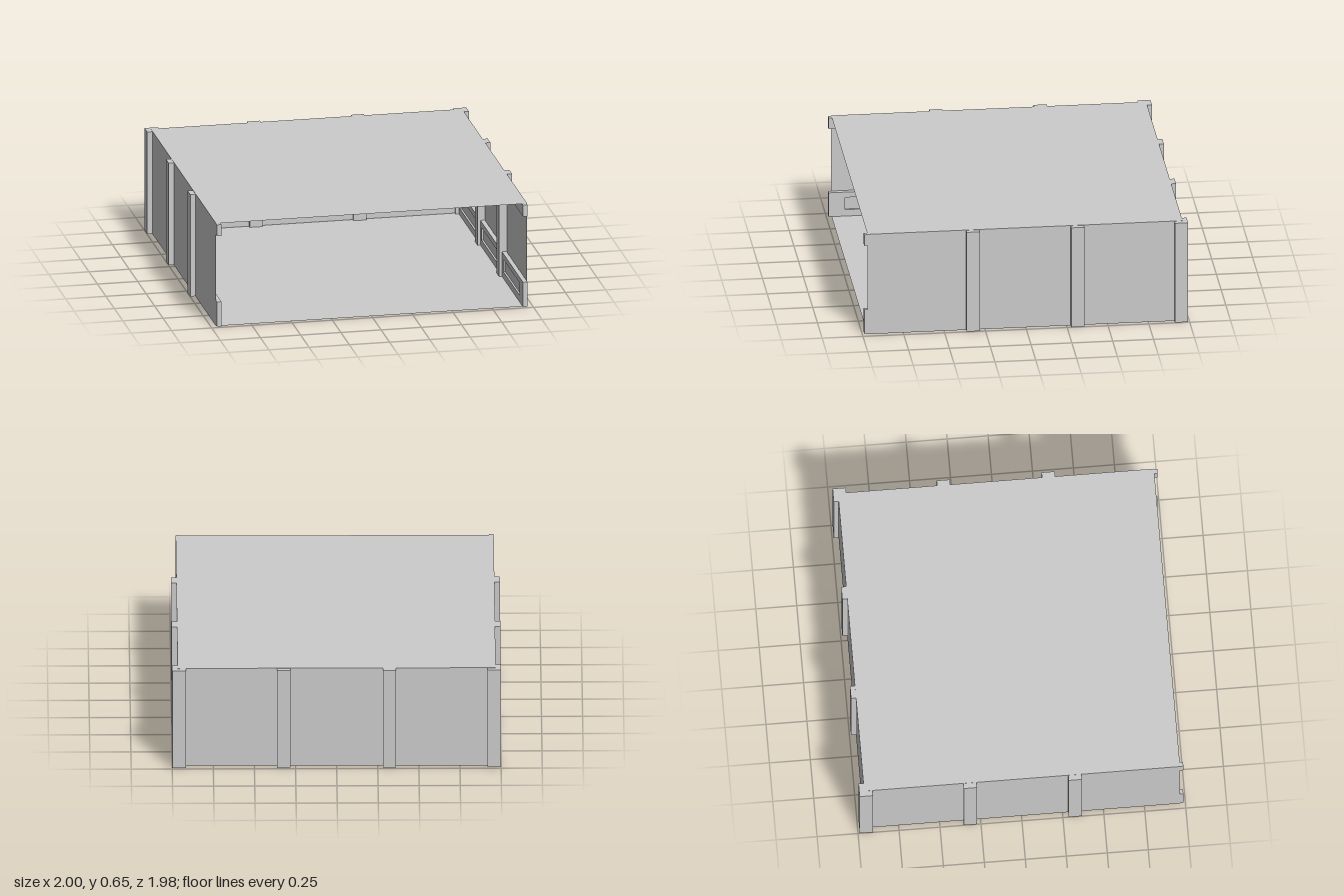
import * as THREE from 'three';

const HEIGHT = 0.655;
const WALL_X = 0.967;   // side wall planes
const BACK_Z = -0.96;   // back wall plane
const FRONT_Z = 0.968;  // open front edge of walls, floor and ceiling
const TRIM = 0.03;      // trim thickness
const POST = 0.08;

export function createModel() {
  const room = new THREE.Group();
  room.name = 'room';
  const solid = new THREE.MeshStandardMaterial({ color: 0xcccccc });
  const thin = new THREE.MeshStandardMaterial({ color: 0xcccccc, side: THREE.DoubleSide });

  const add = (parent, name, geometry, material, x = 0, y = 0, z = 0) => {
    const mesh = new THREE.Mesh(geometry, material);
    mesh.name = name;
    mesh.position.set(x, y, z);
    parent.add(mesh);
    return mesh;
  };
  const rect = (path, x0, y0, x1, y1) =>
    path.moveTo(x0, y0).lineTo(x1, y0).lineTo(x1, y1).lineTo(x0, y1).closePath();

  // Wall sheet with top trim and a panelled baseboard; local +z points into the room
  function makeWall(name, [w0, w1], [t0, t1], panelCentres) {
    const wall = new THREE.Group();
    wall.name = name;
    add(wall, 'wallSheet', new THREE.PlaneGeometry(w1 - w0, HEIGHT), thin, (w0 + w1) / 2, HEIGHT / 2);

    const mid = (t0 + t1) / 2;
    add(wall, 'topTrim', new THREE.BoxGeometry(t1 - t0, 0.072, TRIM - 0.002), solid,
      mid, 0.616, TRIM / 2 + 0.001);

    const board = new THREE.Shape();
    rect(board, t0, 0.003, t1, 0.16);
    for (const c of panelCentres) {
      const hole = new THREE.Path();
      rect(hole, c - 0.242, 0.045, c + 0.242, 0.125);
      board.holes.push(hole);
      add(wall, 'recessedPanel', new THREE.PlaneGeometry(0.484, 0.08), solid, c, 0.085, 0.018);
    }
    add(wall, 'baseboard', new THREE.ExtrudeGeometry(board, { depth: TRIM - 0.002, bevelEnabled: false }),
      solid, 0, 0, 0.002);
    room.add(wall);
    return wall;
  }

  const back = makeWall('backWall', [-WALL_X, WALL_X], [-WALL_X, WALL_X], [-0.64, 0, 0.64]);
  back.position.z = BACK_Z;

  const bays = [-0.635, 0.005, 0.645];
  const left = makeWall('leftWall', [BACK_Z, FRONT_Z], [BACK_Z, 0.988], bays);
  left.rotation.y = -Math.PI / 2;
  left.position.x = WALL_X;
  const right = makeWall('rightWall', [-FRONT_Z, -BACK_Z], [-0.988, -BACK_Z], bays.map((b) => -b));
  right.rotation.y = Math.PI / 2;
  right.position.x = -WALL_X;

  // Floor and ceiling sheets
  for (const [name, y] of [['floor', 0], ['ceiling', HEIGHT]]) {
    const sheet = add(room, name, new THREE.PlaneGeometry(2 * WALL_X, FRONT_Z - BACK_Z), thin,
      0, y, (FRONT_Z + BACK_Z) / 2);
    sheet.rotation.x = -Math.PI / 2;
  }

  // Square posts straddling the walls
  const addPost = (name, x, z, size = POST) =>
    add(room, name, new THREE.BoxGeometry(size, HEIGHT - 0.004, POST), solid, x, HEIGHT / 2, z);
  for (const s of [-1, 1]) {
    addPost('cornerPost', s * 0.958, -0.95, 0.084);
    addPost('backPost', s * 0.322, -0.95);
    for (const z of [-0.315, 0.325]) addPost('sidePost', s * 0.96, z);
  }
  return room;
}
